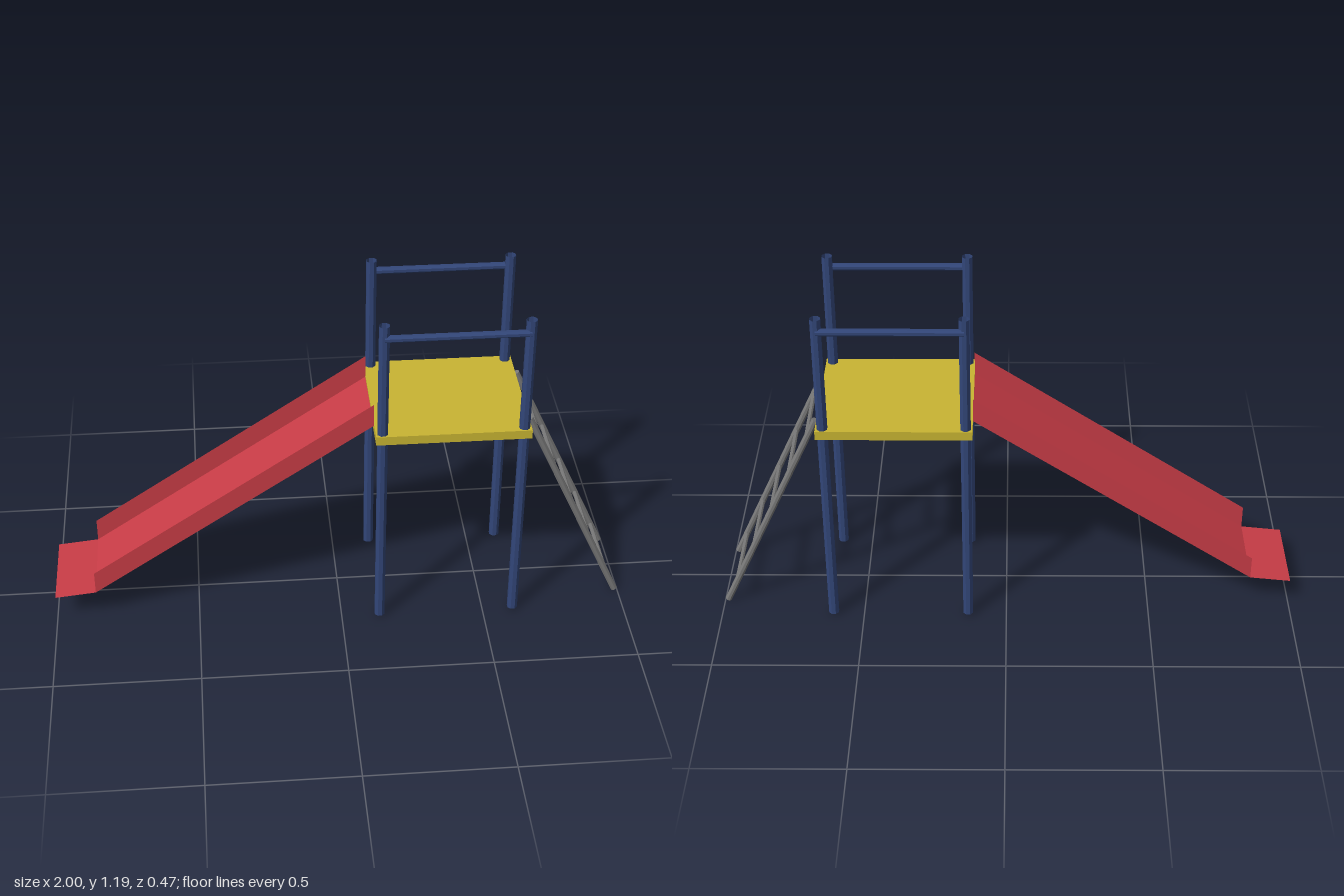
import * as THREE from 'three';

const flat = (name, color, extra = {}) =>
  Object.assign(new THREE.MeshStandardMaterial({ color, flatShading: true, ...extra }), { name });

export function createModel() {
  const red = flat('slide red', 0xc83c46, { side: THREE.DoubleSide });
  const yellow = flat('platform yellow', 0xc8b432);
  const blue = flat('post blue', 0x324678, { side: THREE.DoubleSide });
  const grey = flat('metal grey', 0x787878, { side: THREE.DoubleSide });

  const model = new THREE.Group();
  model.name = 'playgroundSlide';
  const group = (name) => {
    const g = new THREE.Group();
    g.name = name;
    model.add(g);
    return g;
  };
  const add = (parent, name, geometry, material) => {
    const mesh = new THREE.Mesh(geometry, material);
    mesh.name = name;
    parent.add(mesh);
    return mesh;
  };

  // Round bar between two points
  const bar = (parent, name, from, to, radius, material, open = false) => {
    const a = new THREE.Vector3(...from), b = new THREE.Vector3(...to);
    const dir = b.clone().sub(a);
    const geo = new THREE.CylinderGeometry(radius, radius, dir.length(), 8, 1, open, Math.PI / 8);
    const mesh = add(parent, name, geo, material);
    mesh.position.copy(a).add(b).multiplyScalar(0.5);
    mesh.quaternion.setFromUnitVectors(new THREE.Vector3(0, 1, 0), dir.normalize());
    return mesh;
  };

  // Thin four-cornered sheet
  const sheet = (parent, name, a, b, c, d) => {
    const geo = new THREE.BufferGeometry();
    geo.setAttribute('position', new THREE.Float32BufferAttribute([...a, ...b, ...c, ...d], 3));
    geo.setIndex([0, 1, 2, 0, 2, 3]);
    geo.computeVertexNormals();
    return add(parent, name, geo, red);
  };

  // Platform deck
  const deck = add(model, 'platform', new THREE.BoxGeometry(0.52, 0.032, 0.468), yellow);
  deck.position.set(0.371, 0.759, 0);

  // Corner posts and hand rails
  const frame = group('frame');
  for (const s of [1, -1]) {
    for (const x of [0.134, 0.607]) {
      bar(frame, 'post', [x, 0.007, s * 0.213], [x, 1.19, s * 0.213], 0.0185, blue, true);
    }
    bar(frame, 'handRail', [0.134, 1.145, s * 0.222], [0.607, 1.145, s * 0.222], 0.0125, blue);
  }

  // Slide: bed, flat exit and side walls
  const slide = group('slide');
  const w = 0.152, wall = 0.084;
  const top = [0.111, 0.766], low = [-0.858, 0.115], end = [-1, 0.1];
  sheet(slide, 'slideBed', [...low, w], [...top, w], [...top, -w], [...low, -w]);
  sheet(slide, 'slideExit', [...end, w], [...low, w], [...low, -w], [...end, -w]);
  for (const z of [w, -w]) {
    sheet(slide, 'slideWall', [...low, z], [...top, z],
      [top[0], top[1] + wall, z], [low[0], low[1] + wall, z]);
  }
  bar(slide, 'slideSupport', [-0.93, 0.007, 0], [-0.93, 0.101, 0], 0.0185, grey, true);

  // Ladder: two rails and five rungs
  const ladder = group('ladder');
  const head = [0.637, 0.764], foot = [0.989, 0.006], lz = 0.143;
  for (const z of [lz, -lz]) bar(ladder, 'ladderRail', [...head, z], [...foot, z], 0.0118, grey);
  for (let i = 0; i < 5; i++) {
    const y = 0.085 + i * 0.151;
    const x = THREE.MathUtils.mapLinear(y, foot[1], head[1], foot[0], head[0]);
    bar(ladder, 'rung', [x, y, lz], [x, y, -lz], 0.0078, grey);
  }
  return model;
}
